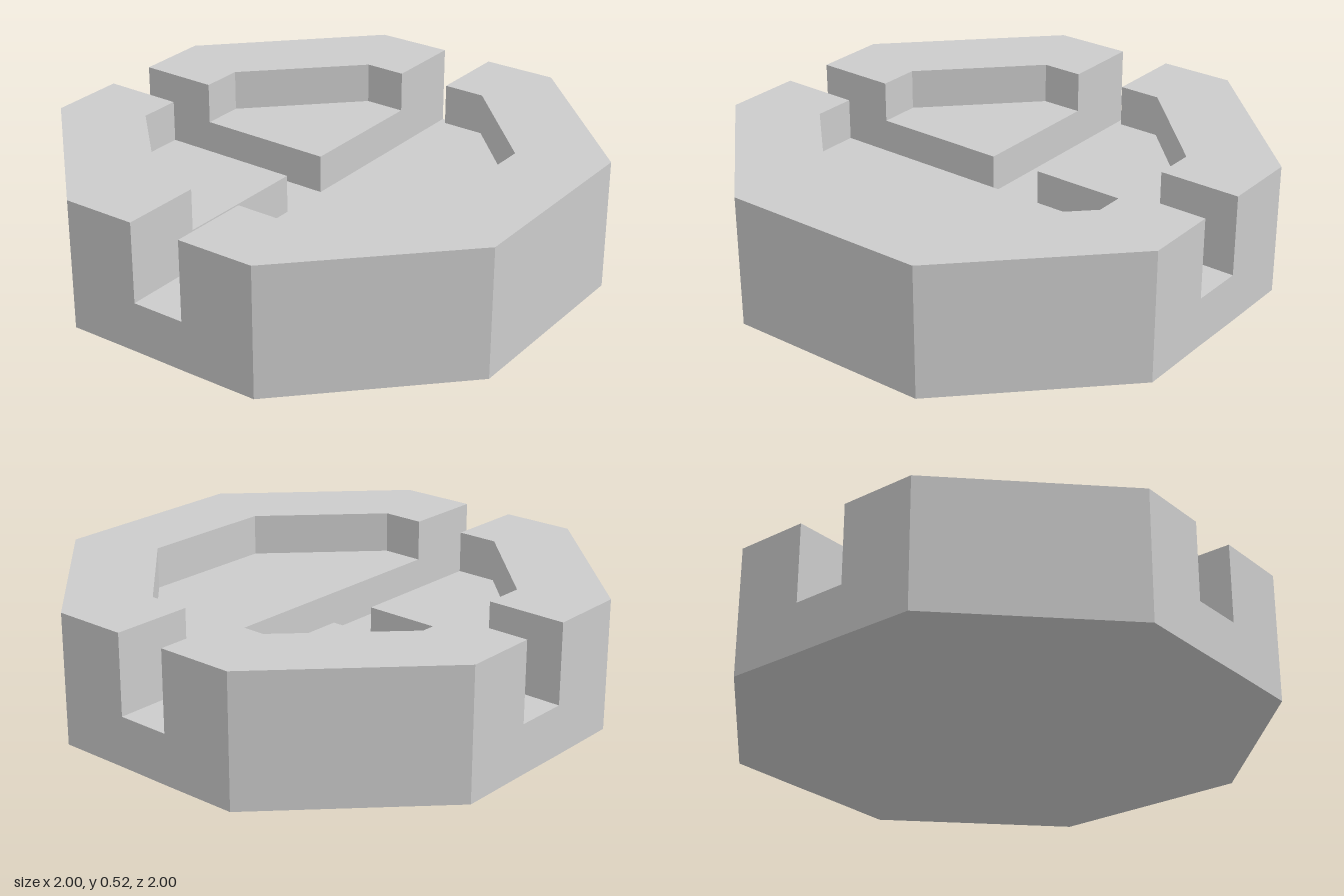
import * as THREE from 'three';

export function createModel() {
  const model = new THREE.Group();
  const material = new THREE.MeshStandardMaterial({ color: 0xcccccc, flatShading: true });
  const TOP = 0.52, RECESS = 0.355, CHANNEL = 0.2;

  // Vertical prism standing on the ground over an outline of [x, z] points
  function prism(name, points, height) {
    const shape = new THREE.Shape(points.map(([x, z]) => new THREE.Vector2(x, -z)));
    const geometry = new THREE.ExtrudeGeometry(shape, { depth: height, bevelEnabled: false });
    geometry.rotateX(-Math.PI / 2);
    const mesh = new THREE.Mesh(geometry, material);
    mesh.name = name;
    model.add(mesh);
  }

  // Corners of the outer octagon, turned a hair off square
  const corner = (k) => {
    const a = THREE.MathUtils.degToRad(22.1 + 45 * k);
    return [1.08 * Math.cos(a), 1.08 * Math.sin(a)];
  };
  const E = 0.998;                        // distance to the flat sides
  const R = -0.11, F = 0.107;             // channel walls (low side, high side)
  const I = 0.672, C = 0.278;             // inner octagon flat and corner

  // Inner octagon outline, front half and back quarters
  const frontInner = [[-I, F], [-I, C], [-C, 0.668], [C, 0.668], [I, C], [I, F]];
  const rightInner = [[F, -0.676], [C, -0.676], [I, -C], [I, R]];
  const leftInner = [[-I, R], [-I, -C], [-C, -0.676], [R, -0.676]];

  // Raised rim in three sections
  prism('frontRim', [[E, F], corner(0), corner(1), corner(2), corner(3), [-E, F], ...frontInner], TOP);
  prism('backLeftRim', [[E, R], corner(7), corner(6), [F, -E], ...rightInner], TOP);
  prism('backRightRim', [[R, -E], corner(5), corner(4), [-E, R], ...leftInner], TOP);

  // Recessed floors inside the rim
  prism('frontFloor', frontInner, RECESS);
  prism('backLeftFloor', [...rightInner, [F, R]], RECESS);
  prism('backRightFloor', [...leftInner, [R, R]], RECESS);

  // T-shaped channel bottom
  prism('channelFloor', [[-E, F], [E, F], [E, R], [F, R], [F, -E], [R, -E], [R, R], [-E, R]], CHANNEL);

  return model;
}
